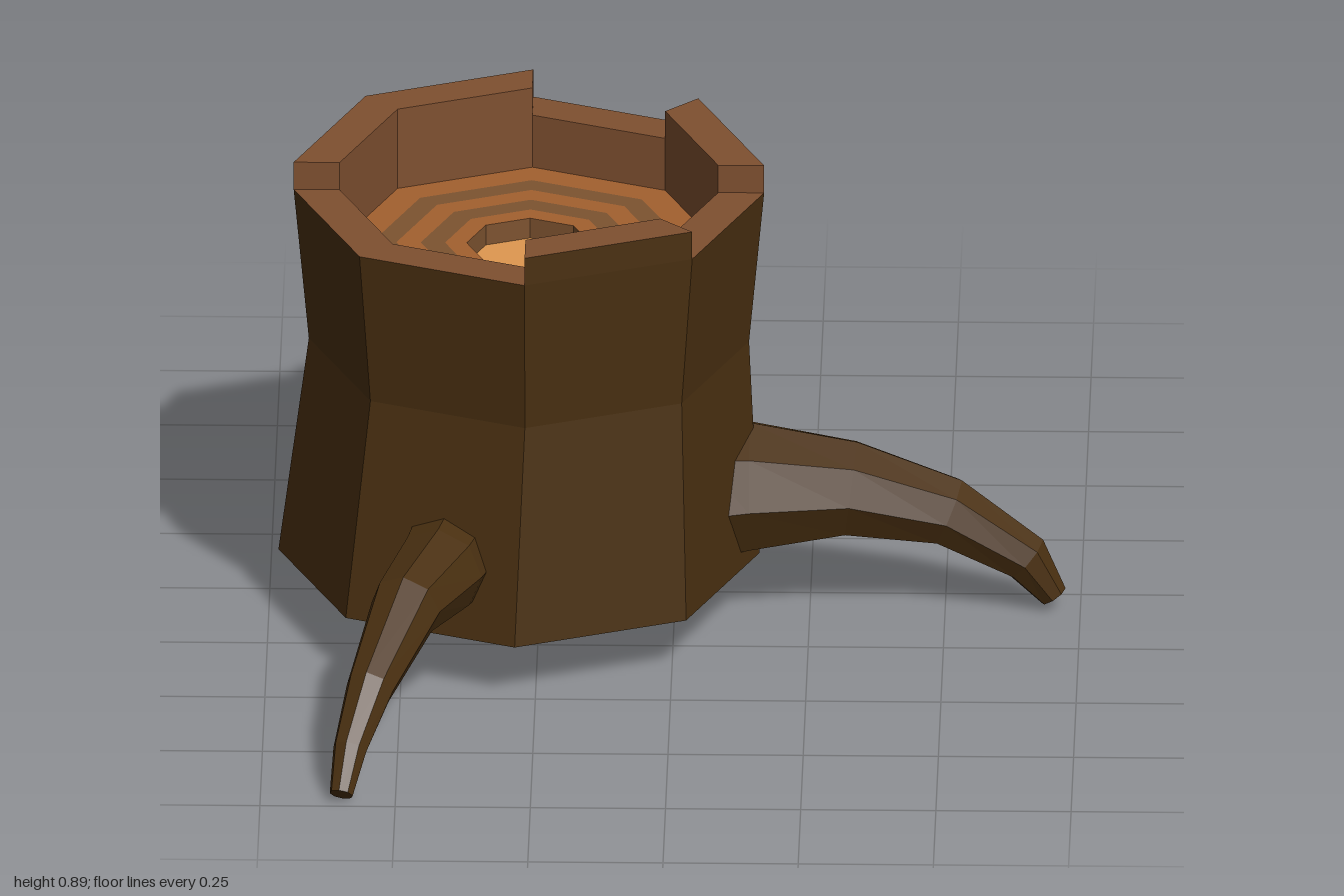
import * as THREE from 'three';

const SIDES = 8;
const CX = -0.27, CZ = 0.055;      // trunk axis
const LOW = 0.835, HIGH = 0.89;    // broken rim heights
const FLOOR = 0.73, PIT = 0.69;    // cut wood and its sunken heart
const OUTER = 0.435, INNER = 0.35;

const makeMaterial = (color) => new THREE.MeshStandardMaterial({ color, flatShading: true, roughness: 1 });
const bark = makeMaterial(0x4a3011);
const rimWood = makeMaterial(0x7f5030);
const ringWood = makeMaterial(0xa3602f);
const darkRing = makeMaterial(0x7d5330);
const heartWood = makeMaterial(0xdf9850);

// Collects triangles and quads into one faceted mesh
class Facets {
  constructor() { this.points = []; }
  tri(a, b, c) { this.points.push(a, b, c); }
  quad(a, b, c, d) { this.tri(a, b, c); this.tri(a, c, d); }
  // Joins rings of points, in order, with outward faces
  loft(rings) {
    for (let i = 0; i + 1 < rings.length; i++) {
      const a = rings[i], b = rings[i + 1], n = a.length;
      for (let j = 0; j < n; j++) {
        const k = (j + 1) % n;
        this.quad(a[j], a[k], b[k], b[j]);
      }
    }
  }
  cap(ring, flip = false) {
    const centre = new THREE.Vector3();
    ring.forEach((p) => centre.addScaledVector(p, 1 / ring.length));
    ring.forEach((p, j) => {
      const q = ring[(j + 1) % ring.length];
      if (flip) this.tri(centre, q, p); else this.tri(centre, p, q);
    });
  }
  mesh(name, material) {
    const geometry = new THREE.BufferGeometry().setFromPoints(this.points);
    geometry.computeVertexNormals();
    const mesh = new THREE.Mesh(geometry, material);
    mesh.name = name;
    return mesh;
  }
}

// Corner j of the trunk's octagon; corner 0 faces the front, corner 2 faces +x
function corner(j, r, y, cx = CX, cz = CZ) {
  const a = (j / SIDES) * Math.PI * 2;
  return new THREE.Vector3(cx + r * Math.sin(a), y, cz + r * Math.cos(a));
}
const octagon = (r, y, cx, cz) => Array.from({ length: SIDES }, (_, j) => corner(j, r, y, cx, cz));

function makeTrunk() {
  const trunk = new THREE.Group();
  trunk.name = 'trunk';

  // Bark flares at the foot and at the top
  const shell = new Facets();
  const foot = octagon(0.445, 0.113, -0.288, 0.065);
  shell.loft([foot, octagon(0.407, 0.535), octagon(OUTER, LOW)]);
  shell.cap(foot, true);

  // Rim with some sectors left standing higher
  const rim = new Facets();
  const raised = [true, false, true, false, true, true, false, false];
  for (let j = 0; j < SIDES; j++) {
    const k = j + 1;
    const top = raised[j] ? HIGH : LOW;
    if (raised[j]) shell.quad(corner(j, OUTER, LOW), corner(k, OUTER, LOW), corner(k, OUTER, top), corner(j, OUTER, top));
    rim.quad(corner(j, OUTER, top), corner(k, OUTER, top), corner(k, INNER, top), corner(j, INNER, top));
    rim.quad(corner(j, INNER, top), corner(k, INNER, top), corner(k, INNER, FLOOR), corner(j, INNER, FLOOR));

    // Step faces where the height changes
    const next = raised[k % SIDES];
    if (raised[j] !== next) {
      const step = [corner(k, OUTER, LOW), corner(k, INNER, LOW), corner(k, INNER, HIGH), corner(k, OUTER, HIGH)];
      if (next) step.reverse();
      rim.quad(...step);
    }
  }
  trunk.add(shell.mesh('bark', bark), rim.mesh('rim', rimWood));

  // Growth rings on the cut face, alternating light and dark
  const radii = [INNER, 0.29, 0.245, 0.2, 0.155, 0.115];
  for (let i = 0; i + 1 < radii.length; i++) {
    const ring = new Facets();
    ring.loft([octagon(radii[i], FLOOR), octagon(radii[i + 1], FLOOR)]);
    trunk.add(ring.mesh('growthRing' + (i + 1), i % 2 ? darkRing : ringWood));
  }

  // Sunken heart
  const wall = new Facets();
  wall.loft([octagon(0.115, FLOOR), octagon(0.115, PIT)]);
  const heart = new Facets();
  heart.cap(octagon(0.115, PIT));
  trunk.add(wall.mesh('heartWall', darkRing), heart.mesh('heart', heartWood));
  return trunk;
}

// Tapered root; each station is [x, y, z, radius]
function makeRoot(name, stations) {
  const centres = stations.map(([x, y, z]) => new THREE.Vector3(x, y, z));
  const up = new THREE.Vector3(0, 1, 0);
  const rings = centres.map((centre, i) => {
    const ahead = centres[Math.min(i + 1, centres.length - 1)];
    const behind = centres[Math.max(i - 1, 0)];
    const along = ahead.clone().sub(behind).normalize();
    const side = up.clone().cross(along).normalize();
    const rise = along.clone().cross(side);
    return Array.from({ length: SIDES }, (_, j) => {
      const a = (j / SIDES) * Math.PI * 2;
      return centre.clone()
        .addScaledVector(side, stations[i][3] * Math.cos(a))
        .addScaledVector(rise, stations[i][3] * Math.sin(a));
    });
  });
  const root = new Facets();
  root.loft(rings);
  root.cap(rings[0], true);
  root.cap(rings[rings.length - 1]);
  return root.mesh(name, bark);
}

export function createModel() {
  const model = new THREE.Group();
  model.name = 'treeStump';
  model.add(
    makeTrunk(),
    makeRoot('leftRoot', [
      [0.06, 0.235, 0.048, 0.14], [0.14, 0.24, 0.048, 0.128], [0.325, 0.238, 0.05, 0.094],
      [0.505, 0.195, 0.055, 0.068], [0.65, 0.105, 0.06, 0.048], [0.70, 0.03, 0.062, 0.027],
    ]),
    makeRoot('frontRoot', [
      [-0.40, 0.245, 0.34, 0.095], [-0.43, 0.248, 0.47, 0.085], [-0.487, 0.242, 0.62, 0.067],
      [-0.55, 0.165, 0.82, 0.045], [-0.585, 0.085, 0.92, 0.032], [-0.60, 0.02, 0.98, 0.022],
    ]),
    makeRoot('backRoot', [
      [-0.42, 0.24, -0.26, 0.145], [-0.455, 0.25, -0.38, 0.13], [-0.52, 0.258, -0.58, 0.083],
      [-0.595, 0.2, -0.77, 0.053], [-0.64, 0.12, -0.9, 0.036], [-0.66, 0.033, -0.98, 0.024],
    ]),
  );
  return model;
}
